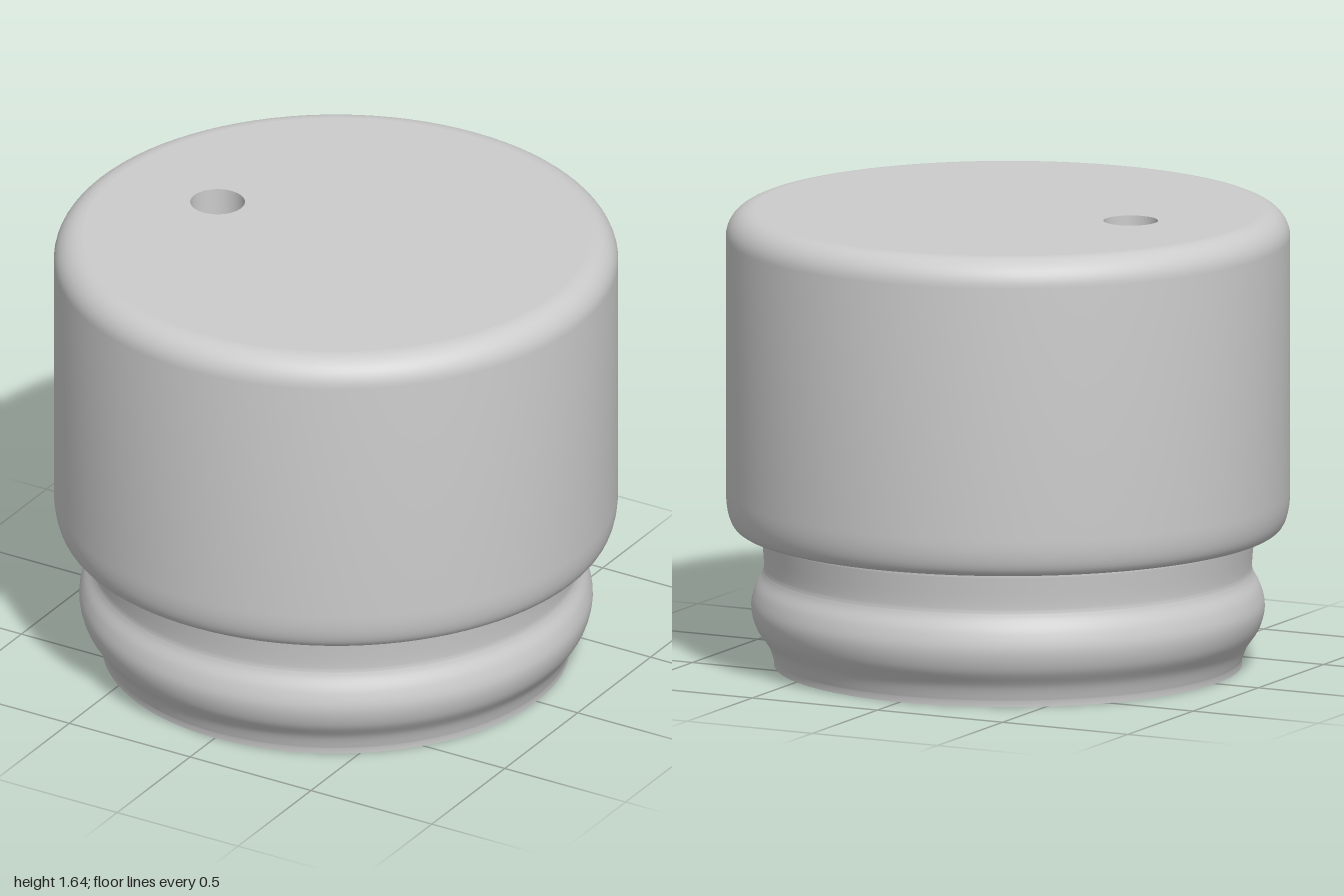
import * as THREE from 'three';
import { toCreasedNormals } from 'three/addons/utils/BufferGeometryUtils.js';

const SEG = 96;
const TOP = 1.64, CEILING = 0.72, BORE = 0.73, FILLET = 0.1;
const HOLE = { x: -0.49, r: 0.097 };
const v = (x, y) => new THREE.Vector2(x, y);

export function createModel() {
  const group = new THREE.Group();
  const material = new THREE.MeshStandardMaterial({ color: 0xcccccc });
  const add = (name, geometry) => {
    const mesh = new THREE.Mesh(geometry, material);
    mesh.name = name;
    group.add(mesh);
    return mesh;
  };
  const lathe = (points) => toCreasedNormals(new THREE.LatheGeometry(points, SEG), 0.6);

  // Flat disc pierced by the small through hole
  const piercedDisc = (radius) => {
    const shape = new THREE.Shape().absarc(0, 0, radius, 0, Math.PI * 2, false);
    shape.holes.push(new THREE.Path().absarc(HOLE.x, 0, HOLE.r, 0, Math.PI * 2, true));
    return new THREE.ShapeGeometry(shape, SEG / 2);
  };

  // Neck: straight bore, flat rim and a bulging sealing bead
  const bead = new THREE.SplineCurve([
    v(0.83, 0.02), v(0.85, 0.075), v(0.893, 0.14), v(0.91, 0.21),
    v(0.897, 0.275), v(0.87, 0.33), v(0.865, 0.37), v(0.875, 0.48),
  ]).getPoints(40);
  add('neck', lathe([v(BORE, CEILING), v(BORE, 0), v(0.83, 0), ...bead]));

  // Thin collar between the neck and the head
  add('collar', lathe([v(0.87, 0.48), v(0.91, 0.48), v(0.91, 0.497)]));

  // Head: soft lower edge, straight wall, rounded upper edge
  const lowerEdge = new THREE.CubicBezierCurve(
    v(0.95, 0.495), v(0.985, 0.495), v(1, 0.56), v(1, 0.63)).getPoints(10);
  const upperEdge = Array.from({ length: 11 }, (_, i) => {
    const a = (i / 10) * Math.PI / 2;
    return v(1 - FILLET + FILLET * Math.cos(a), TOP - FILLET + FILLET * Math.sin(a));
  });
  add('head', lathe([v(0.9, 0.495), ...lowerEdge, ...upperEdge]));

  // Top face and the ceiling of the bore
  add('topFace', piercedDisc(1 - FILLET).rotateX(-Math.PI / 2)).position.y = TOP;
  add('boreCeiling', piercedDisc(BORE).rotateX(Math.PI / 2)).position.y = CEILING;

  // Wall of the through hole, facing inward
  const wall = new THREE.LatheGeometry([v(HOLE.r, TOP), v(HOLE.r, CEILING)], 48);
  add('holeWall', wall).position.x = HOLE.x;

  return group;
}
